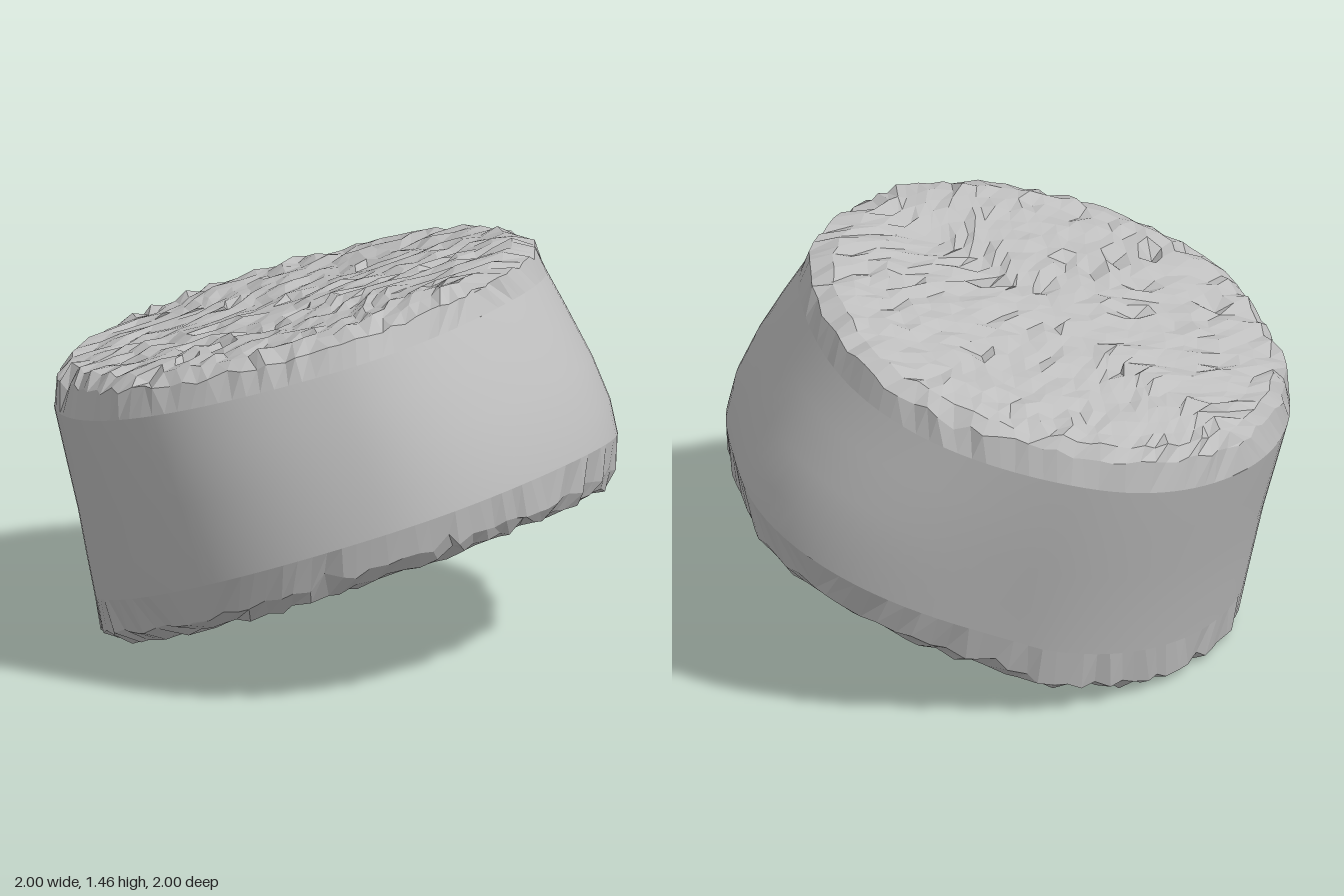
import * as THREE from 'three';

const N = 28;          // grid cells across each rough face
const SEG = N * 4;     // segments around the wall
const RIM = 6 / 7;     // where the face starts rolling into the wall
const lerp = THREE.MathUtils.lerp;

// Repeatable noise in -1..1
function noise(i, j, seed) {
  const s = Math.sin(i * 127.1 + j * 311.7 + seed * 74.7) * 43758.5453;
  return (s - Math.floor(s)) * 2 - 1;
}

// Tilted end surfaces; t = 0 is the underside (lifted at its back left corner), t = 1 the top
const bottomY = (x, z) =>
  0.265 + 0.305 * x + 0.215 * z + 0.14 * Math.max(0, x) * Math.max(0, -z);
const topY = (x, z) => 1.28 + 0.26 * x + 0.13 * z;

// Diagonal bulge of a cross-section: flat front left, pointed back left
function bulge(ring, a) {
  const right = Math.cos(a) < 0, back = Math.sin(a) < 0;
  const amount = right ? (back ? -0.025 : ring.frontRight) : (back ? ring.backLeft : -0.06);
  return 1 + amount * Math.sin(2 * a) ** 2;
}

// Point at angle a on a cross-section, pulled towards its centre by scale
function ringPoint(ring, a, scale = 1) {
  const k = scale * bulge(ring, a);
  const x = ring.cx + ring.rx * k * Math.cos(a);
  const z = ring.cz + ring.rz * k * Math.sin(a);
  return new THREE.Vector3(x, lerp(bottomY(x, z), topY(x, z), ring.t), z);
}

// Cross-sections from underside to top: centre, radii, diagonal bulges, height fraction
const section = (cx, cz, rx, rz, frontRight, backLeft, t) =>
  ({ cx, cz, rx, rz, frontRight, backLeft, t });
const underside = section(0.085, 0.075, 0.865, 0.865, -0.01, 0.12, 0);
const wallRings = [
  section(0.065, 0.06, 0.935, 0.94, 0.02, 0.15, 0.18),
  section(0.04, 0.04, 0.935, 0.945, 0.03, 0.14, 0.32),
  section(-0.005, 0.005, 0.92, 0.945, 0.04, 0.12, 0.5),
  section(-0.065, -0.035, 0.9, 0.94, 0.05, 0.09, 0.69),
  section(-0.12, -0.075, 0.88, 0.925, 0.05, 0.07, 0.86),
];
const topFace = section(-0.145, -0.115, 0.79, 0.835, 0.05, 0.06, 1);

// Smooth wall lofted through the rings
function makeWall() {
  const pos = [], index = [];
  wallRings.forEach((ring, i) => {
    for (let j = 0; j < SEG; j++) {
      pos.push(...ringPoint(ring, (j / SEG) * Math.PI * 2));
      if (i === wallRings.length - 1) continue;
      const p = i * SEG + j, q = i * SEG + ((j + 1) % SEG);
      index.push(p, p + SEG, q, q, p + SEG, q + SEG);
    }
  });
  const g = new THREE.BufferGeometry();
  g.setAttribute('position', new THREE.Float32BufferAttribute(pos, 3));
  g.setIndex(index);
  g.computeVertexNormals();
  return g;
}

// Rough faceted end: a square grid wrapped onto a disc, rolled over at the rim
function makeFace(face, edge, zSign, seed) {
  const g = new THREE.PlaneGeometry(2, 2, N, N);
  const p = g.attributes.position;
  for (let k = 0; k < p.count; k++) {
    const u = p.getX(k), v = p.getY(k) * zSign;
    const r = Math.max(Math.abs(u), Math.abs(v));
    let a = 0;
    if (r > 1e-6) {
      a = Math.abs(u) >= Math.abs(v)
        ? (Math.PI / 4) * (v / u) + (u < 0 ? Math.PI : 0)
        : Math.PI / 2 - (Math.PI / 4) * (u / v) + (v < 0 ? Math.PI : 0);
    }
    const s = Math.max(0, (r - RIM) / (1 - RIM)) * Math.PI / 2;
    const ring = {};
    for (const key of Object.keys(face)) ring[key] = lerp(face[key], edge[key], Math.sin(s));
    ring.t = lerp(face.t, edge.t, 1 - Math.cos(s));
    const q = ringPoint(ring, a, Math.min(1, r / RIM));
    // Small bumps, with a deeper pit here and there; the joint stays clean
    if (r < 0.999) {
      const i = k % (N + 1), j = Math.floor(k / (N + 1));
      const pit = noise(i, j, seed + 3) > 0.92 ? 0.03 : 0;
      q.x += 0.012 * noise(i, j, seed);
      q.z += 0.012 * noise(i, j, seed + 1);
      q.y += 0.013 * noise(i, j, seed + 2) + (face.t ? -pit : pit);
    }
    p.setXYZ(k, q.x, Math.max(0, q.y), q.z);
  }
  const flat = g.toNonIndexed();
  flat.computeVertexNormals();
  return flat;
}

export function createModel() {
  const grey = new THREE.MeshStandardMaterial({ color: 0xbebebe });
  grey.name = 'light grey';
  const group = new THREE.Group();
  group.name = 'tiltedDisc';
  const add = (name, geometry) => {
    const mesh = new THREE.Mesh(geometry, grey);
    mesh.name = name;
    group.add(mesh);
  };
  add('smoothWall', makeWall());
  add('roughTop', makeFace(topFace, wallRings[wallRings.length - 1], -1, 3));
  add('roughUnderside', makeFace(underside, wallRings[0], 1, 11));
  return group;
}
